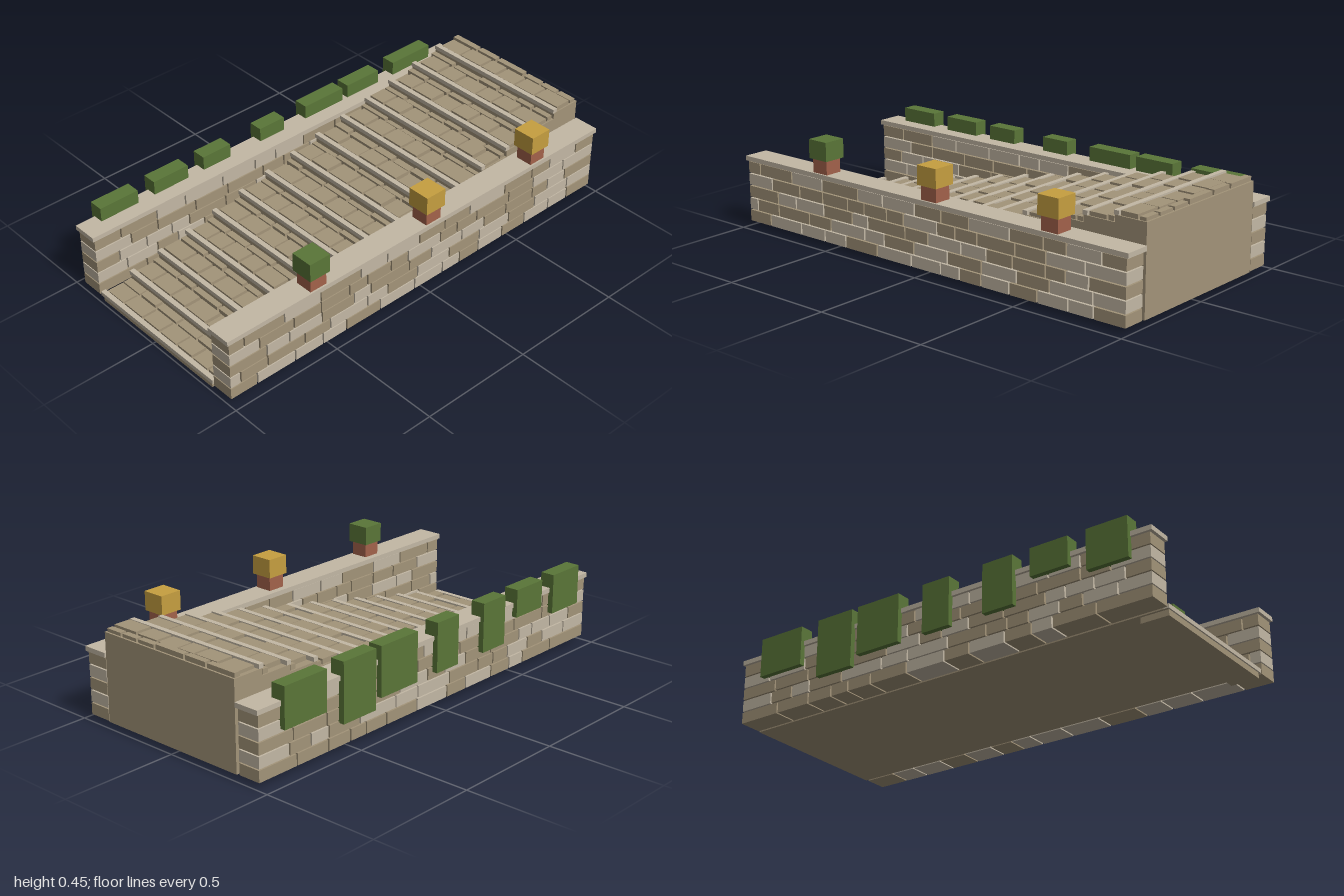
import * as THREE from 'three';

const mat = (name, color) => {
  const m = new THREE.MeshStandardMaterial({ color });
  m.name = name;
  return m;
};

export function createModel() {
  const model = new THREE.Group();
  model.name = 'gardenStairway';

  const darkStone = mat('dark stone', 0xa39479);
  const lightStone = mat('light stone', 0xc3b8a5);
  const leaf = mat('leaf green', 0x5a7638);
  const blossom = mat('golden blossom', 0xc69f40);
  const clay = mat('clay', 0xa3624b);

  // Small seeded generator for stone sizes
  let seed = 11;
  const rand = (a, b) => {
    seed = (seed * 16807) % 2147483647;
    return a + (b - a) * (seed / 2147483647);
  };

  // Box given by its min and max corners
  const unit = new THREE.BoxGeometry(1, 1, 1);
  const box = (parent, name, material, x0, x1, y0, y1, z0, z1) => {
    const m = new THREE.Mesh(unit, material);
    m.name = name;
    m.scale.set(x1 - x0, y1 - y0, z1 - z0);
    m.position.set((x0 + x1) / 2, (y0 + y1) / 2, (z0 + z1) / 2);
    parent.add(m);
  };
  const group = (name) => {
    const g = new THREE.Group();
    g.name = name;
    model.add(g);
    return g;
  };

  // Split a length into stones of varied size with joints between
  const stones = (start, end, min, max, gap, place) => {
    let p = start;
    while (p < end - 0.001) {
      let q = p + rand(min, max);
      if (end - q < min * 0.6) q = end;
      place(p, Math.min(q, end));
      p = q + gap;
    }
  };

  // Staircase: body, light nosing and two rows of paving on each step
  const stairs = group('stairs');
  const STEPS = 14, DEPTH = 0.1415, RISE = 0.0285, BASE = 0.025;
  const L = -0.342, R = 0.354;
  for (let i = 0; i < STEPS; i++) {
    const front = 0.985 - DEPTH * i;
    const back = i === STEPS - 1 ? -0.995 : front - DEPTH;
    const top = BASE + RISE * i;
    if (i === 0) box(stairs, 'bottomStep', darkStone, -0.332, 0.344, 0, BASE, 0.865, front);
    else box(stairs, 'stepBody', darkStone, L, R, BASE, top, back, front);
    if (i === 0) box(stairs, 'groundSlab', darkStone, L, R, BASE, BASE + 0.006, back, front);
    box(stairs, 'stepNosing', lightStone, L, R, top, top + 0.018, front - 0.016, front + 0.006);

    const split = front - rand(0.09, 0.105);
    const rows = [[split, front - 0.022], [back + 0.008, split - 0.009]];
    rows.forEach(([z0, z1], row) => {
      const offset = row ? 0 : rand(0, 0.03);
      stones(L + 0.006 + offset, R - 0.006, 0.075, row ? 0.15 : 0.115, 0.012, (a, b) => {
        box(stairs, 'pavingStone', darkStone, a, b, top, top + rand(0.013, 0.022), z0, z1);
      });
    });
  }

  // Side walls: five brick courses under a flat coping
  const wall = (name, x0, x1) => {
    const g = group(name);
    for (let row = 0; row < 5; row++) {
      const y = BASE + row * 0.0533;
      let first = true;
      stones(-0.99, 0.99, 0.08, 0.2, 0.007, (a, b) => {
        const endStone = first || b > 0.985;
        const light = endStone ? row % 2 === 1 : rand(0, 1) < 0.5;
        first = false;
        box(g, 'brick', light ? lightStone : darkStone, x0, x1, y, y + 0.048, a, b);
      });
    }
    box(g, 'coping', lightStone, x0 - 0.006, x1 + 0.006, 0.29, 0.31, -1, 1);
  };
  wall('rightWall', -0.452, -0.352);
  wall('leftWall', 0.363, 0.463);

  // Hedges hanging over the right wall: back, front, height
  const hedges = group('hedges');
  [
    [-0.88, -0.66, 0.17], [-0.57, -0.39, 0.25], [-0.36, -0.15, 0.21], [-0.03, 0.1, 0.21],
    [0.26, 0.4, 0.21], [0.48, 0.65, 0.12], [0.73, 0.91, 0.17],
  ].forEach(([z0, z1, h]) => box(hedges, 'hedge', leaf, -0.475, -0.412, 0.37 - h, 0.37, z0, z1));

  // Potted plants on the left wall
  const pots = group('pottedPlants');
  [[-0.64, blossom], [-0.043, blossom], [0.557, leaf]].forEach(([z, plant]) => {
    box(pots, 'pot', clay, 0.385, 0.461, 0.31, 0.37, z - 0.039, z + 0.039);
    box(pots, 'plant', plant, 0.374, 0.472, 0.37, 0.45, z - 0.049, z + 0.049);
  });

  return model;
}
